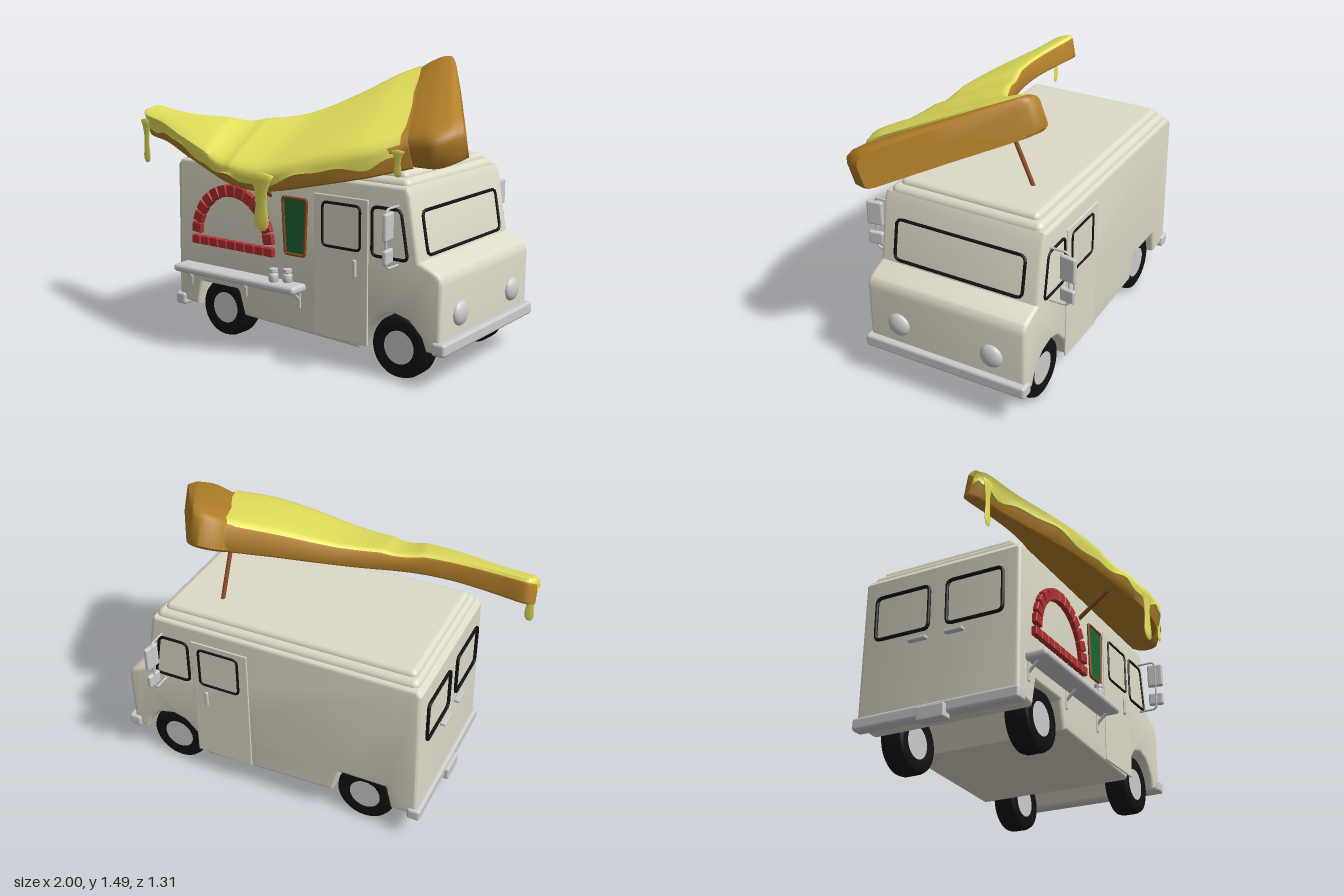
import * as THREE from 'three';
import { toCreasedNormals } from 'three/addons/utils/BufferGeometryUtils.js';
import { RoundedBoxGeometry } from 'three/addons/geometries/RoundedBoxGeometry.js';

const mat = (color, side = THREE.FrontSide) => new THREE.MeshStandardMaterial({ color, side });
const M = {
  body: mat(0xdedac8), grey: mat(0xcccccc), black: mat(0x111111), brick: mat(0xb02f2f),
  green: mat(0x1c6434), wood: mat(0x8a4a20), crust: mat(0xb5802a), cheese: mat(0xe8e45e, THREE.DoubleSide),
};
const V = (x, y, z) => new THREE.Vector3(x, y, z);
const ZC = -0.078, HALF = 0.433;           // truck centre line and half width
const sideZ = (s, out = 0) => ZC + s * (HALF + out);

function add(parent, name, geo, material, x = 0, y = 0, z = 0) {
  const m = new THREE.Mesh(geo, material);
  m.name = name;
  m.position.set(x, y, z);
  parent.add(m);
  return m;
}
const rbox = (w, h, d, r) => new RoundedBoxGeometry(w, h, d, 3, r);

// Rod between two points
function rod(parent, name, a, b, r, material) {
  return add(parent, name, new THREE.TubeGeometry(new THREE.LineCurve3(a, b), 1, r, 10), material);
}

// Tube along corner points with rounded corners
function loopTube(pts, corner, r, closed = true) {
  const path = new THREE.CurvePath(), n = pts.length;
  const toward = (a, b) => a.clone().add(b.clone().sub(a).setLength(corner));
  let prev = closed ? toward(pts[0], pts[1]) : pts[0];
  for (let i = 1; i < (closed ? n + 1 : n - 1); i++) {
    const p = pts[i % n], inP = toward(p, pts[i - 1]), outP = toward(p, pts[(i + 1) % n]);
    path.add(new THREE.LineCurve3(prev, inP));
    path.add(new THREE.QuadraticBezierCurve3(inP, p, outP));
    prev = outP;
  }
  if (!closed) path.add(new THREE.LineCurve3(prev, pts[n - 1]));
  return new THREE.TubeGeometry(path, 90, r, 8, closed);
}

// Underside height of the tilted slice, sagging in the middle and at the tip
const sliceY = (x, z) => 1.187 - 0.4 * z - 0.06 * Math.exp(-x * x / 0.18) - 0.04 * THREE.MathUtils.smoothstep(-x, 0.2, 1);

// Loft between a back edge and a front edge; ring(u) gives [across, height, extra outward]
function sliceLoft(back, front, thick, ring, steps, wave = 0) {
  const curve = (p) => new THREE.CatmullRomCurve3(p.map(([x, z]) => V(x, 0, z)));
  const B = curve(back), F = curve(front), T = curve(thick.map((t) => [t, 0]));
  const pos = [], idx = [], n = ring(0).length;
  for (let i = 0; i <= steps; i++) {
    const u = i / steps, b = B.getPoint(u), f = F.getPoint(u), t = T.getPoint(u).x;
    const dir = f.clone().sub(b).normalize();
    for (const [a, h, d = 0] of ring(u)) {
      const p = b.clone().lerp(f, a).addScaledVector(dir, d);
      p.x += wave * u ** 8 * Math.sin(a * 11);
      pos.push(p.x, sliceY(p.x, p.z) + h * t * 0.93, p.z + h * t * 0.37);
    }
  }
  for (let i = 0; i < steps; i++) for (let j = 0; j < n; j++) {
    const k = (j + 1) % n, a = i * n + j, c = i * n + k;
    idx.push(a, c, a + n, c, c + n, a + n);
  }
  for (const end of [0, steps]) {          // end caps
    const o = end * n, c = pos.length / 3, m = [0, 0, 0];
    for (let j = 0; j < n; j++) for (let k = 0; k < 3; k++) m[k] += pos[(o + j) * 3 + k] / n;
    pos.push(...m);
    for (let j = 0; j < n; j++) {
      const k = (j + 1) % n;
      end ? idx.push(c, o + j, o + k) : idx.push(c, o + k, o + j);
    }
  }
  const g = new THREE.BufferGeometry();
  g.setAttribute('position', new THREE.Float32BufferAttribute(pos, 3));
  g.setIndex(idx);
  return toCreasedNormals(g, 0.9);
}

function buildSlice() {
  const g = new THREE.Group();
  g.name = 'pizzaSlice';
  const back = [[-0.99, 0.22], [-0.96, 0.2], [-0.8, 0.23], [-0.6, 0.25], [-0.4, 0.235], [-0.2, 0.18],
    [0, 0.085], [0.2, -0.08], [0.34, -0.24], [0.42, -0.33]];
  const front = [[-1, 0.25], [-0.97, 0.285], [-0.8, 0.34], [-0.55, 0.455], [-0.3, 0.55], [-0.1, 0.605],
    [0.1, 0.622], [0.35, 0.58], [0.6, 0.505], [0.79, 0.395]];
  const thick = [0.12, 0.125, 0.118, 0.11, 0.107, 0.107, 0.112, 0.135, 0.152, 0.155];
  // Rounded slab section; lean pulls the upper back edge outward
  const slab = (lean) => () => [[0, 0.1], [0, 0.8, -lean], [0.01, 0.92, -lean], [0.04, 1, -lean / 2], [0.3, 1], [0.6, 1],
    [0.88, 0.99], [0.95, 0.94], [0.99, 0.83, -lean / 2], [1, 0.68, -lean / 2], [1, 0.12], [0.98, 0.02], [0.94, 0],
    [0.5, 0], [0.06, 0], [0.02, 0.02]];
  add(g, 'sliceBase', sliceLoft(back, front, thick, slab(0.018), 48), M.crust);
  // Thick outer crust
  add(g, 'outerCrust', sliceLoft(
    [[0.4, -0.31], [0.44, -0.365], [0.51, -0.4], [0.56, -0.39], [0.6, -0.35]],
    [[0.77, 0.38], [0.83, 0.385], [0.91, 0.38], [0.97, 0.32], [1, 0.26]],
    [0.15, 0.165, 0.18, 0.182, 0.165], slab(0), 16), M.crust);
  // Cheese layer hanging over the front edge with a wavy hem
  const cheeseRing = (u) => {
    const hem = 0.52 + 0.13 * Math.sin(u * 26) + 0.06 * Math.sin(u * 61);
    return [[0.02, 0.9, -0.016], [0, 0.9, -0.02], [0.01, 1.03, -0.016], [0.04, 1.06, -0.008], [0.3, 1.08], [0.6, 1.08],
      [0.86, 1.07], [0.94, 1.03, 0.003], [0.99, 0.89, -0.003], [1, 0.72, -0.001], [1, hem, 0.007],
      [1, hem - 0.03, -0.006], [0.96, 0.8]];
  };
  const cb = [...back.slice(0, 9), [0.42, -0.31]], cf = [...front.slice(0, 9), [0.78, 0.402]];
  add(g, 'cheese', sliceLoft(cb, cf, thick, cheeseRing, 90, 0.025), M.cheese);
  // Drips: [x, z, top, bottom, neck radius]
  for (const [x, z, top, bot, r] of [[0.115, 0.648, 0.99, 0.705, 0.038], [-0.96, 0.328, 1.13, 0.885, 0.021],
    [0.755, 0.468, 1.13, 1.005, 0.018]]) {
    const L = top - bot;
    const prof = [[0, 0], [0.6, 0.02], [1.05, 0.08], [1.2, 0.17], [1.05, 0.3], [0.85, 0.45], [0.95, 0.65], [1.5, 0.85], [2, 0.95], [0, 1]]
      .map(([a, b]) => new THREE.Vector2(a * r, b * L));
    add(g, 'cheeseDrip', new THREE.LatheGeometry(prof, 20), M.cheese, x, bot, z).scale.z = 0.18;
  }
  rod(g, 'rearStrut', V(0.45, 0.98, -0.3), V(0.45, 1.28, -0.165), 0.011, M.wood);
  rod(g, 'frontStrut', V(-0.07, 0.81, 0.35), V(-0.07, 0.94, 0.53), 0.011, M.wood);
  return g;
}

function buildBody(g) {
  // Side profile with wheel arches, extruded across the truck
  const s = new THREE.Shape([[-0.715, 0.165], [-0.575, 0.155], [-0.545, 0.285], [-0.295, 0.285], [-0.255, 0.15], [0.475, 0.12],
    [0.53, 0.24], [0.6, 0.31], [0.67, 0.33], [0.75, 0.31], [0.82, 0.24], [0.845, 0.175], [0.922, 0.175], [0.925, 0.5],
    [0.92, 0.53], [0.905, 0.552], [0.87, 0.57], [0.803, 0.597], [0.75, 0.9], [0.73, 0.94], [-0.68, 0.94], [-0.705, 0.91]]
    .map((p) => new THREE.Vector2(...p)));
  const b = 0.02;
  const geo = new THREE.ExtrudeGeometry(s, { depth: 2 * (HALF - b), bevelSize: b, bevelThickness: b, bevelOffset: -b, bevelSegments: 4 });
  add(g, 'body', toCreasedNormals(geo, 0.5), M.body, 0, 0, ZC - HALF + b);
  add(g, 'roofEdge', rbox(1.41, 0.12, 0.82, 0.035), M.body, 0.025, 0.912, ZC);
  add(g, 'roofTop', rbox(1.35, 0.12, 0.75, 0.03), M.body, 0.02, 0.94, ZC);
  // Windscreen frame on the sloping front
  const ws = (y, z) => V(0.805 - (y - 0.595) * 0.18 + 0.002, y, ZC + z);
  add(g, 'windscreenFrame', loopTube([ws(0.615, -0.35), ws(0.615, 0.35), ws(0.82, 0.35), ws(0.82, -0.35)], 0.03, 0.008), M.black);
  add(g, 'frontBumper', rbox(0.072, 0.065, 0.89, 0.015), M.grey, 0.918, 0.203, ZC);
  add(g, 'rearBumper', rbox(0.07, 0.065, 0.89, 0.015), M.grey, -0.7, 0.17, ZC);
  add(g, 'rearStep', rbox(0.06, 0.07, 0.15, 0.008), M.grey, -0.725, 0.147, ZC);
  for (const k of [1, -1]) {
    const lamp = add(g, 'headlight', new THREE.SphereGeometry(0.06, 28, 18), M.grey, 0.925, 0.34, ZC + k * 0.257);
    lamp.scale.x = 0.5;
    const rw = (y, z) => V(-0.717, y, ZC + k * z);
    add(g, 'rearWindowFrame', loopTube([rw(0.59, 0.05), rw(0.59, 0.35), rw(0.815, 0.35), rw(0.815, 0.05)], 0.03, 0.009), M.black);
    add(g, 'rearHandle', rbox(0.03, 0.018, 0.1, 0.006), M.grey, -0.727, 0.54, ZC + k * 0.1);
  }
}

// Door, windows, mirror and wheels of one side (s = 1 or -1)
function buildSide(g, s) {
  const p = (x, y, o = 0) => V(x, y, sideZ(s, o));
  add(g, 'door', rbox(0.32, 0.715, 0.012, 0.005), M.body, 0.365, 0.5, sideZ(s));
  add(g, 'doorWindowFrame', loopTube([p(0.26, 0.605, 0.006), p(0.48, 0.605, 0.006), p(0.48, 0.82, 0.006), p(0.26, 0.82, 0.006)], 0.025, 0.007), M.black);
  add(g, 'cabWindowFrame', loopTube([p(0.545, 0.595), p(0.745, 0.595), p(0.705, 0.83), p(0.545, 0.83)], 0.03, 0.008), M.black);
  add(g, 'doorHandle', rbox(0.022, 0.09, 0.02, 0.008), M.grey, 0.45, 0.515, sideZ(s, 0.006));
  add(g, 'mirrorBracket', loopTube([p(0.69, 0.85, -0.01), p(0.69, 0.85, 0.1), p(0.69, 0.57, 0.1), p(0.69, 0.57, -0.01)], 0.03, 0.006, false), M.grey);
  for (const [y, h, w] of [[0.77, 0.13, 0.085], [0.63, 0.07, 0.08]]) {
    add(g, 'mirror', rbox(0.025, h, w, 0.01), M.grey, 0.698, y, sideZ(s, 0.097)).rotation.y = s * 0.15;
  }
  const tyre = [[0.08, -0.055], [0.13, -0.063], [0.147, -0.055], [0.155, -0.035], [0.155, 0.035], [0.147, 0.055], [0.13, 0.063], [0.08, 0.055]]
    .map((q) => new THREE.Vector2(...q));
  for (const x of [-0.42, 0.675]) {
    const w = new THREE.Group();
    w.name = 'wheel';
    w.position.set(x, 0.155, ZC + s * 0.336);
    w.rotation.x = s * Math.PI / 2;
    add(w, 'tyre', toCreasedNormals(new THREE.LatheGeometry(tyre, 40), 0.6), M.black);
    add(w, 'hub', new THREE.CylinderGeometry(0.083, 0.083, 0.112, 32), M.grey);
    g.add(w);
  }
}

// Oven arch, menu board and counter on the serving side
function buildServingSide(g) {
  const z = sideZ(1);
  const brick = (x, y, w, h, a = 0) => { add(g, 'brick', rbox(w, h, 0.035, 0.006), M.brick, x, y, z + 0.008).rotation.z = a; };
  for (let i = 0; i < 13; i++) {
    const a = (i + 0.5) / 13 * Math.PI;
    brick(-0.316 + 0.242 * Math.cos(a), 0.556 + 0.25 * Math.sin(a), 0.062, 0.054, a);
  }
  for (let i = 0; i < 9; i++) brick(-0.563 + i * 0.0615, 0.521, 0.056, 0.046);
  const c = [[0.03, 0.53], [0.15, 0.53], [0.165, 0.815], [0.015, 0.815]];
  const board = new THREE.ExtrudeGeometry(new THREE.Shape(c.map((q) => new THREE.Vector2(...q))), { depth: 0.01, bevelEnabled: false });
  add(g, 'menuBoard', board, M.green, 0, 0, z - 0.002);
  add(g, 'menuFrame', loopTube(c.map(([x, y]) => V(x, y, z + 0.008)), 0.012, 0.008), M.wood);
  add(g, 'counter', rbox(0.81, 0.042, 0.115, 0.018), M.grey, -0.25, 0.37, z + 0.05);
  for (const x of [-0.62, -0.24, 0.11]) {
    add(g, 'counterBracket', new THREE.TubeGeometry(new THREE.QuadraticBezierCurve3(
      V(x, 0.355, z + 0.06), V(x, 0.33, z + 0.025), V(x, 0.3, z)), 10, 0.008, 8), M.grey);
    add(g, 'bracketPlate', rbox(0.02, 0.1, 0.012, 0.004), M.grey, x, 0.305, z);
  }
  const jar = [[0, 0], [0.02, 0], [0.025, 0.01], [0.025, 0.04], [0.019, 0.05], [0.022, 0.054], [0.022, 0.07], [0, 0.074]]
    .map((q) => new THREE.Vector2(...q));
  for (const [x, dz] of [[-0.002, 0.063], [0.06, 0.03]]) {
    add(g, 'jar', toCreasedNormals(new THREE.LatheGeometry(jar, 20), 0.6), M.grey, x, 0.388, z + dz);
  }
}

export function createModel() {
  const model = new THREE.Group();
  model.name = 'pizzaTruck';
  const truck = new THREE.Group();
  truck.name = 'truck';
  buildBody(truck);
  buildSide(truck, 1);
  buildSide(truck, -1);
  buildServingSide(truck);
  model.add(truck, buildSlice());
  return model;
}
